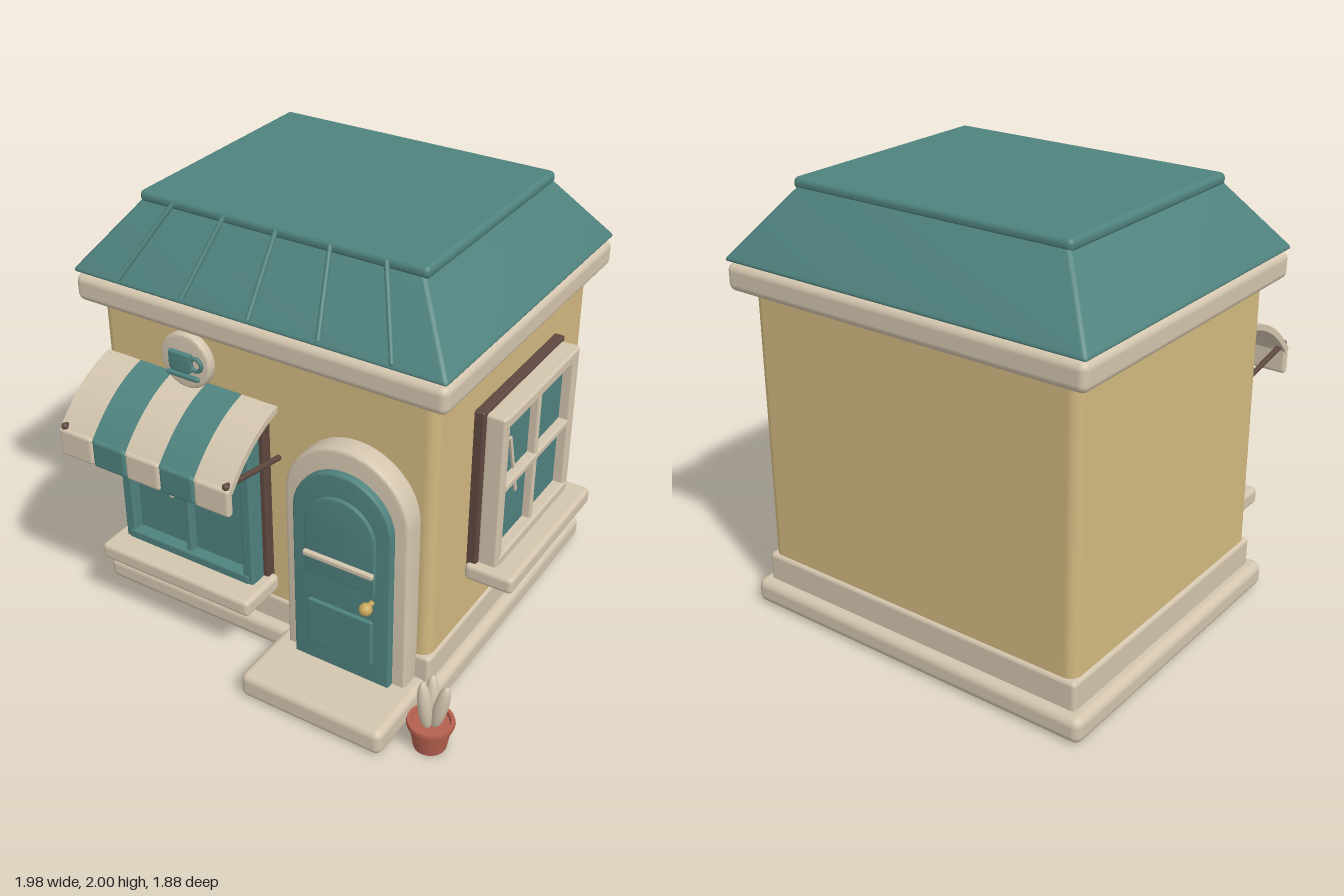
import * as THREE from 'three';
import { toCreasedNormals } from 'three/addons/utils/BufferGeometryUtils.js';
import { RoundedBoxGeometry } from 'three/addons/geometries/RoundedBoxGeometry.js';

const material = (name, color) => {
  const m = new THREE.MeshStandardMaterial({ color });
  m.name = name;
  return m;
};

export function createModel() {
  const wall = material('mustard wall', 0xd2b880);
  const cream = material('cream trim', 0xd3c5ae);
  const teal = material('teal paint', 0x4f827e);
  const brown = material('dark wood', 0x5e483f);
  const clay = material('terracotta', 0xb5604f);
  const gold = material('brass', 0xc9a75c);

  const root = new THREE.Group();
  root.name = 'cornerCafe';

  const add = (parent, name, geo, mat, x = 0, y = 0, z = 0) => {
    const mesh = new THREE.Mesh(geo, mat);
    mesh.name = name;
    mesh.position.set(x, y, z);
    parent.add(mesh);
    return mesh;
  };

  // rounded block given by its minimum and maximum corners
  const block = (parent, name, mat, [x0, y0, z0], [x1, y1, z1], r = 0.02) => {
    const s = [x1 - x0, y1 - y0, z1 - z0];
    const radius = Math.min(r, Math.min(...s) * 0.45);
    return add(parent, name, new RoundedBoxGeometry(...s, 3, radius), mat,
      (x0 + x1) / 2, (y0 + y1) / 2, (z0 + z1) / 2);
  };

  // round bar between two points
  const rod = (parent, name, mat, a, b, r) => {
    const p = new THREE.Vector3(...a), q = new THREE.Vector3(...b);
    const mid = p.clone().add(q).multiplyScalar(0.5);
    const mesh = add(parent, name, new THREE.CylinderGeometry(r, r, p.distanceTo(q), 10), mat, mid.x, mid.y, mid.z);
    mesh.quaternion.setFromUnitVectors(new THREE.Vector3(0, 1, 0), q.sub(p).normalize());
    return mesh;
  };

  const extrude = (shape, depth, bevel = 0) => toCreasedNormals(new THREE.ExtrudeGeometry(shape, {
    depth: depth - 2 * bevel, curveSegments: 20, bevelEnabled: bevel > 0,
    bevelSize: bevel, bevelThickness: bevel, bevelOffset: -bevel, bevelSegments: 3,
  }).translate(0, 0, bevel), 0.6);

  // slab with a semicircular top
  const arch = (half, bottom, top, depth, bevel) => {
    const s = new THREE.Shape();
    s.moveTo(-half, bottom);
    s.lineTo(half, bottom);
    s.lineTo(half, top - half);
    s.absarc(0, top - half, half, 0, Math.PI, false);
    s.closePath();
    return extrude(s, depth, bevel);
  };

  // walls, plinth and cornice
  block(root, 'base', cream, [-0.98, 0, -0.925], [0.81, 0.12, 0.6], 0.04);
  block(root, 'plinth', cream, [-0.925, 0.1, -0.875], [0.763, 0.25, 0.55], 0.02);
  block(root, 'walls', wall, [-0.91, 0.1, -0.86], [0.75, 1.56, 0.54], 0.05);
  block(root, 'cornice', cream, [-0.985, 1.52, -0.936], [0.825, 1.645, 0.617], 0.035);

  // hipped roof: a block narrowed towards the top
  const roofGeo = new RoundedBoxGeometry(1.83, 0.32, 1.57, 3, 0.02);
  const pos = roofGeo.attributes.position;
  for (let i = 0; i < pos.count; i++) {
    const t = (pos.getY(i) + 0.16) / 0.32;
    pos.setX(i, pos.getX(i) * (1 - 0.27 * t));
    pos.setZ(i, pos.getZ(i) * (1 - 0.305 * t));
  }
  add(root, 'roof', toCreasedNormals(roofGeo, 0.5), teal, -0.085, 1.815, -0.165);
  block(root, 'roofCap', teal, [-0.775, 1.945, -0.725], [0.615, 2, 0.4], 0.025);
  for (let i = -2; i <= 2; i++) {
    rod(root, 'roofRib', teal, [-0.08 + i * 0.255, 1.985, 0.398], [-0.08 + i * 0.332, 1.68, 0.61], 0.011);
  }

  // window facing +z, centred on the origin of its group
  const makeWindow = (name, { w, h, backing, frameMat, transom, sill, glint }) => {
    const g = new THREE.Group();
    g.name = name;
    const x = w / 2, y = h / 2, t = 0.055, bx = backing[0] / 2, by = backing[1] / 2;
    block(g, 'windowSurround', brown, [-bx, -by, -0.01], [bx, by, 0.045], 0.01);
    add(g, 'glass', new THREE.BoxGeometry(w - 0.04, h - 0.04, 0.04), teal, 0, 0, 0.06);
    for (const s of [-1, 1]) {
      const stile = s * (x - t / 2), rail = s * (y - t / 2);
      block(g, 'windowStile', frameMat, [stile - t / 2, -y, 0.04], [stile + t / 2, y, 0.13], 0.012);
      block(g, 'windowRail', frameMat, [-x + 0.02, rail - t / 2, 0.04], [x - 0.02, rail + t / 2, 0.135], 0.012);
    }
    block(g, 'mullion', frameMat, [-0.015, -y + 0.02, 0.07], [0.015, y - 0.03, 0.12], 0.01);
    if (transom) block(g, 'transom', frameMat, [-x + 0.03, -0.015, 0.07], [x - 0.03, 0.02, 0.125], 0.01);
    const shine = add(g, 'glassGlint', new THREE.BoxGeometry(0.018, glint.length, 0.009), cream, glint.x, glint.y, 0.085);
    shine.rotation.z = 0.27;
    block(g, 'windowSill', cream, [-sill.half, -y - 0.07, 0.0], [sill.half, -y + 0.012, sill.depth], 0.022);
    root.add(g);
    return g;
  };
  makeWindow('frontWindow', {
    w: 0.715, h: 0.83, backing: [0.762, 0.87], frameMat: teal, transom: false,
    sill: { half: 0.41, depth: 0.25 }, glint: { x: -0.143, y: 0.01, length: 0.285 },
  }).position.set(-0.422, 0.785, 0.54);
  const side = makeWindow('sideWindow', {
    w: 0.727, h: 0.76, backing: [0.77, 0.79], frameMat: cream, transom: true,
    sill: { half: 0.408, depth: 0.23 }, glint: { x: -0.163, y: 0.04, length: 0.33 },
  });
  side.position.set(0.75, 0.93, -0.163);
  side.rotation.y = Math.PI / 2;

  // striped awning with a hanging valance
  const awning = new THREE.Group();
  awning.name = 'awning';
  root.add(awning);
  const profile = new THREE.Shape();
  profile.moveTo(0.57, 1.29);
  profile.quadraticCurveTo(0.77, 1.25, 0.925, 1.06);
  profile.lineTo(0.9, 1.045);
  profile.quadraticCurveTo(0.755, 1.22, 0.57, 1.262);
  profile.closePath();
  const stripe = 0.179;
  for (let i = 0; i < 5; i++) {
    const x = -0.87 + i * stripe, mat = i % 2 ? teal : cream;
    add(awning, 'awningStripe', extrude(profile, stripe).rotateY(-Math.PI / 2), mat, x + stripe);
    block(awning, 'valance', mat, [x + 0.001, 0.94, 0.893], [x + stripe - 0.001, 1.075, 0.93], 0.016);
  }
  for (const x of [-0.845, 0.005]) {
    rod(awning, 'awningArm', brown, [x, 1.085, 0.91], [x, 1.015, 0.54], 0.013);
    add(awning, 'armKnob', new THREE.SphereGeometry(0.016, 12, 8), brown, x, 1.085, 0.915);
  }

  // round sign with a cup and saucer
  const sign = new THREE.Group();
  sign.name = 'cupSign';
  sign.position.set(-0.4, 1.4, 0);
  root.add(sign);
  const disc = new THREE.Shape();
  disc.absarc(0, 0, 0.128, 0, Math.PI * 2, false);
  add(sign, 'signDisc', extrude(disc, 0.048, 0.012), cream, 0, 0, 0.58);
  rod(sign, 'signMount', cream, [0, 0, 0.53], [0, 0, 0.59], 0.03);
  const cup = new THREE.Shape();
  cup.moveTo(-0.07, 0.045);
  cup.lineTo(-0.07, -0.02);
  cup.quadraticCurveTo(-0.07, -0.045, -0.045, -0.045);
  cup.lineTo(0.02, -0.045);
  cup.quadraticCurveTo(0.045, -0.045, 0.045, -0.02);
  cup.lineTo(0.045, 0.045);
  cup.closePath();
  add(sign, 'cup', extrude(cup, 0.03, 0.005), teal, 0, 0, 0.62);
  add(sign, 'cupHandle', new THREE.TorusGeometry(0.029, 0.0095, 8, 24), teal, 0.062, 0.004, 0.634);
  block(sign, 'saucer', teal, [-0.09, -0.079, 0.62], [0.075, -0.056, 0.645], 0.01);

  // arched door on a broad step
  const door = new THREE.Group();
  door.name = 'door';
  door.position.x = 0.396;
  root.add(door);
  add(door, 'doorSurround', arch(0.298, 0.1, 1.237, 0.11, 0.015), cream, 0, 0, 0.53);
  add(door, 'doorLeaf', arch(0.237, 0.11, 1.14, 0.065, 0.008), teal, 0, 0, 0.61);
  add(door, 'upperPanel', arch(0.17, 0.61, 1.03, 0.025, 0.006), teal, 0, 0, 0.666);
  block(door, 'lowerPanel', teal, [-0.16, 0.224, 0.66], [0.16, 0.46, 0.691], 0.008);
  block(door, 'pushBar', cream, [-0.17, 0.7, 0.685], [0.17, 0.727, 0.71], 0.008);
  add(door, 'doorKnob', new THREE.SphereGeometry(0.029, 20, 14), gold, 0.153, 0.56, 0.725);
  rod(door, 'knobStem', gold, [0.153, 0.56, 0.67], [0.153, 0.56, 0.72], 0.012);
  block(root, 'doorStep', cream, [0.04, 0, 0.5], [0.75, 0.125, 0.94], 0.035);

  // potted plant beside the step
  const plant = new THREE.Group();
  plant.name = 'pottedPlant';
  plant.position.set(0.886, 0, 0.75);
  root.add(plant);
  const potProfile = [[0, 0], [0.072, 0], [0.09, 0.108], [0.1, 0.112], [0.104, 0.125], [0.1, 0.14], [0.085, 0.14], [0.08, 0.12], [0, 0.12]];
  add(plant, 'pot', toCreasedNormals(
    new THREE.LatheGeometry(potProfile.map((p) => new THREE.Vector2(...p)), 28), 0.7), clay);
  const leaves = [[[-0.005, 0.1, 0.02], [-0.03, 0.35, 0.03]], [[0.015, 0.1, 0], [0.07, 0.35, 0]], [[-0.005, 0.1, -0.02], [-0.02, 0.33, -0.04]]];
  for (const [a, b] of leaves) {
    const leaf = rod(plant, 'leaf', cream, a, b, 0.03);
    leaf.geometry = new THREE.SphereGeometry(1, 16, 12).scale(0.032, 0.127, 0.032);
  }

  return root;
}
